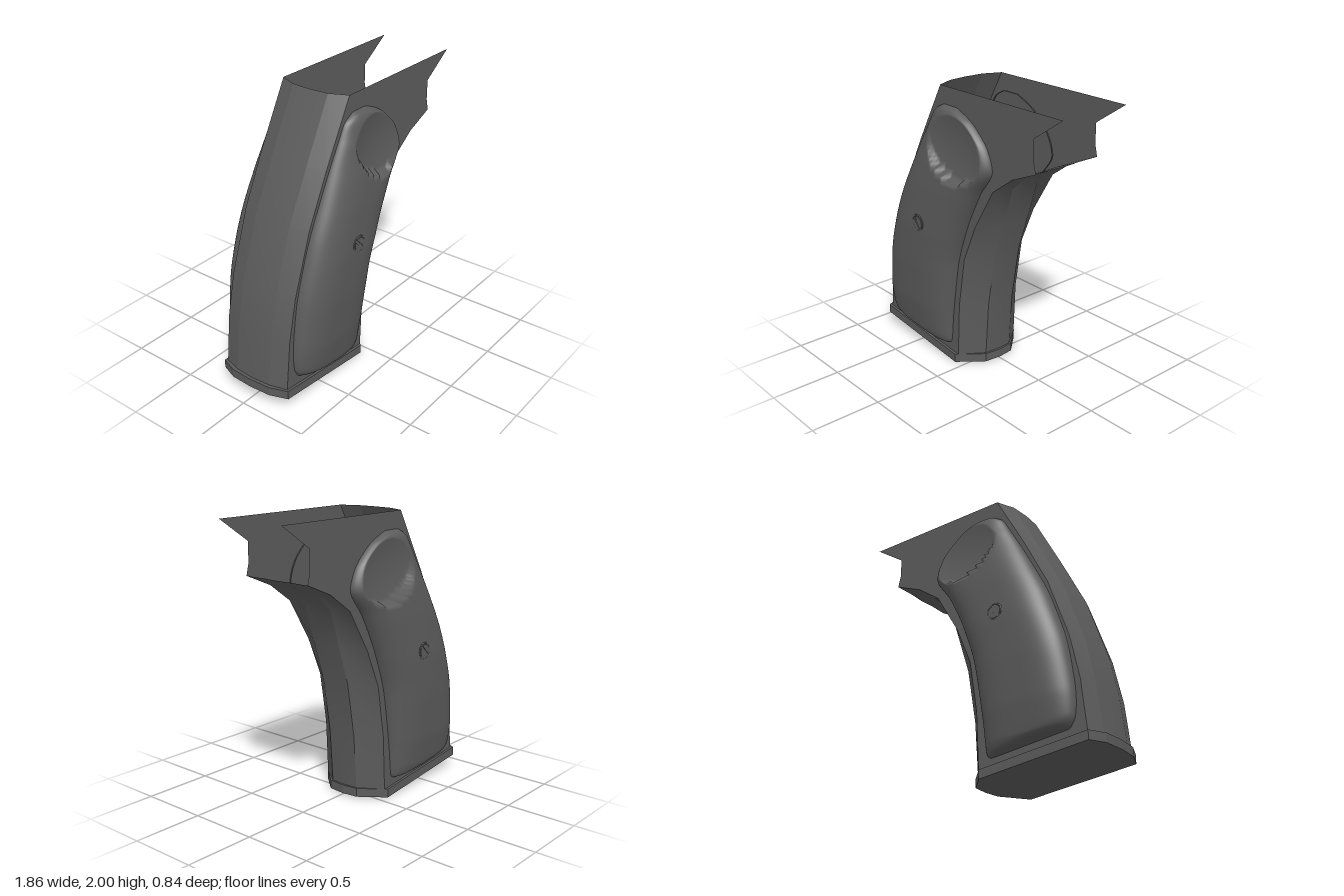
import * as THREE from 'three';

const WALL = 0.265;
const V = (x, y, z) => new THREE.Vector3(x, y, z);

// Rear and front edges of the frame as [x, y], bottom to top
const backOuter = [[-0.905, 0.12], [-0.86, 0.5], [-0.8, 0.8], [-0.655, 1.23], [-0.48, 1.58], [-0.26, 2]];
const backInner = [[-0.86, 0.12], [-0.82, 0.5], [-0.755, 0.8], [-0.605, 1.23], [-0.43, 1.58], [-0.2, 2]];
const frontOuter = [[0.07, 0.04], [0.1, 0.46], [0.165, 0.85], [0.255, 1.13], [0.34, 1.39], [0.5, 1.53], [0.71, 1.62]];
const frontInner = [[-0.055, 0.04], [-0.035, 0.46], [0.025, 0.83], [0.14, 1.1], [0.32, 1.4], [0.5, 1.53], [0.71, 1.62]];

// Rear and front edges of the grip panel, paired row by row
const panelBack = [[-0.74, 0.19], [-0.78, 0.27], [-0.785, 0.45], [-0.735, 0.78], [-0.62, 1.13], [-0.5, 1.38], [-0.4, 1.57], [-0.31, 1.73], [-0.25, 1.83], [-0.17, 1.88]];
const panelFront = [[-0.15, 0.12], [-0.12, 0.16], [-0.095, 0.4], [-0.03, 0.8], [0.075, 1.1], [0.2, 1.35], [0.315, 1.52], [0.26, 1.68], [0.12, 1.81], [-0.03, 1.88]];
// Bulge of the panel: [y, z]
const bulge = [[0.12, 0.335], [0.2, 0.36], [0.4, 0.39], [0.7, 0.411], [1, 0.418], [1.3, 0.405], [1.5, 0.388], [1.7, 0.36], [1.9, 0.31]];

function lookup(table, y) {
  for (let i = 1; i < table.length; i++) {
    const [a, za] = table[i - 1], [b, zb] = table[i];
    if (y <= b) return THREE.MathUtils.lerp(za, zb, Math.max(0, (y - a) / (b - a)));
  }
  return table[table.length - 1][1];
}

// Smooth sheet through a grid of points
function sheet(rows) {
  const cols = rows[0].length, index = [];
  for (let i = 0; i < rows.length - 1; i++) {
    for (let j = 0; j < cols - 1; j++) {
      const a = i * cols + j, b = a + cols;
      index.push(a, a + 1, b, a + 1, b + 1, b);
    }
  }
  const geometry = new THREE.BufferGeometry().setFromPoints(rows.flat());
  geometry.setIndex(index);
  geometry.computeVertexNormals();
  return geometry;
}

// Domed panel with a rounded rim and a hollow for the thumb
function panelGeometry(side) {
  const curve = (pts) => new THREE.CatmullRomCurve3(pts.map(([x, y]) => V(x, y, 0)), false, 'catmullrom', 0.4);
  const back = curve(panelBack), front = curve(panelFront);
  const rows = [], n = 96, m = 64;
  for (let i = 0; i <= n; i++) {
    const v = (1 - Math.cos(Math.PI * i / n)) / 2;
    const a = back.getPoint(v), b = front.getPoint(v);
    const end = Math.sqrt(Math.max(0, 1 - Math.abs(2 * v - 1) ** 14));
    const row = [];
    for (let j = 0; j <= m; j++) {
      const u = -Math.cos(Math.PI * j / m);
      const p = a.clone().lerp(b, (u + 1) / 2);
      const rim = Math.sqrt(Math.max(0, 1 - Math.abs(u) ** 3)) * end;
      let z = 0.255 + (lookup(bulge, p.y) - 0.255) * rim;
      const d = ((p.x - 0.06) / 0.29) ** 2 + ((p.y - 1.68) / 0.26) ** 2;
      if (d < 1) z = Math.min(z, 0.305 + 0.035 * d);
      row.push(V(p.x, p.y, z * side));
    }
    rows.push(side > 0 ? row : row.reverse());
  }
  return sheet(rows);
}

export function createModel() {
  const model = new THREE.Group();
  const metal = new THREE.MeshStandardMaterial({ color: 0x5c5c5c, side: THREE.DoubleSide });
  metal.name = 'darkGrey';
  const add = (name, geometry, parent = model) => {
    const mesh = new THREE.Mesh(geometry, metal);
    mesh.name = name;
    parent.add(mesh);
    return mesh;
  };

  // Flat side walls with the open fork at the top
  const outline = [...frontInner, [0.69, 1.7], [0.69, 1.84], [0.925, 2], ...backInner.slice().reverse()];
  const wall = new THREE.Shape(outline.map(([x, y]) => new THREE.Vector2(x, y)));
  for (const side of [1, -1]) {
    const mesh = add(side > 0 ? 'frontSideWall' : 'rearSideWall', new THREE.ShapeGeometry(wall));
    if (side < 0) mesh.geometry.scale(1, 1, -1), mesh.geometry.index.array.reverse(), mesh.geometry.computeVertexNormals();
    mesh.geometry.translate(0, 0, WALL * side);
  }

  // Bevelled back strap and front strap, one sheet per facet
  const strap = (name, inner, outer, zOuter, crown) => {
    const group = new THREE.Group();
    group.name = name;
    model.add(group);
    const ring = inner.map(([x, y], i) => {
      const [ox, oy] = outer[i];
      return [V(x, y, WALL), V(ox - crown * 0.5, oy, zOuter), V(ox + crown * 0.5, oy, 0),
        V(ox - crown * 0.5, oy, -zOuter), V(x, y, -WALL)];
    });
    const facets = [[0, 2], [1, 4], [3, 5]];
    for (const [from, to] of facets) {
      const rows = ring.map((r) => r.slice(from, to));
      add(name + 'Facet', sheet(crown < 0 ? rows.map((r) => r.reverse()) : rows), group);
    }
  };
  strap('backStrap', backInner, backOuter, 0.14, -0.01);
  strap('frontStrap', frontInner, frontOuter, 0.11, 0.008);

  // Slanted base plate
  const half = [[-0.93, 0], [-0.92, 0.16], [-0.87, 0.283], [-0.07, 0.283], [0.08, 0.12], [0.095, 0]];
  const plan = [...half, ...half.slice(1, -1).reverse().map(([x, z]) => [x, -z])];
  const base = new THREE.ExtrudeGeometry(new THREE.Shape(plan.map(([x, z]) => new THREE.Vector2(x, z))),
    { depth: 0.062, bevelEnabled: false });
  base.rotateX(-Math.PI / 2);
  const pos = base.attributes.position;
  for (let i = 0; i < pos.count; i++) {
    const x = pos.getX(i) + 0.07;
    pos.setY(i, pos.getY(i) + (x < 0 ? -0.112 * x : 0.06 * x));
  }
  base.computeVertexNormals();
  add('basePlate', base);

  // Grip panels and their slotted screws
  for (const side of [1, -1]) {
    add(side > 0 ? 'frontGripPanel' : 'rearGripPanel', panelGeometry(side));
    const screw = new THREE.Group();
    screw.name = 'gripScrew';
    screw.position.set(-0.288, 1.045, 0.413 * side);
    if (side < 0) screw.rotation.y = Math.PI;
    model.add(screw);
    add('screwRim', new THREE.TorusGeometry(0.055, 0.006, 6, 32), screw);
    for (const turn of [0, Math.PI]) {
      const segment = new THREE.Shape();
      segment.absarc(0, 0, 0.047, 0.2, Math.PI - 0.2, false);
      const head = add('screwHead', new THREE.ExtrudeGeometry(segment,
        { depth: 0.008, bevelEnabled: false, curveSegments: 16 }), screw);
      head.rotation.z = turn - Math.PI / 4;
    }
  }
  return model;
}
